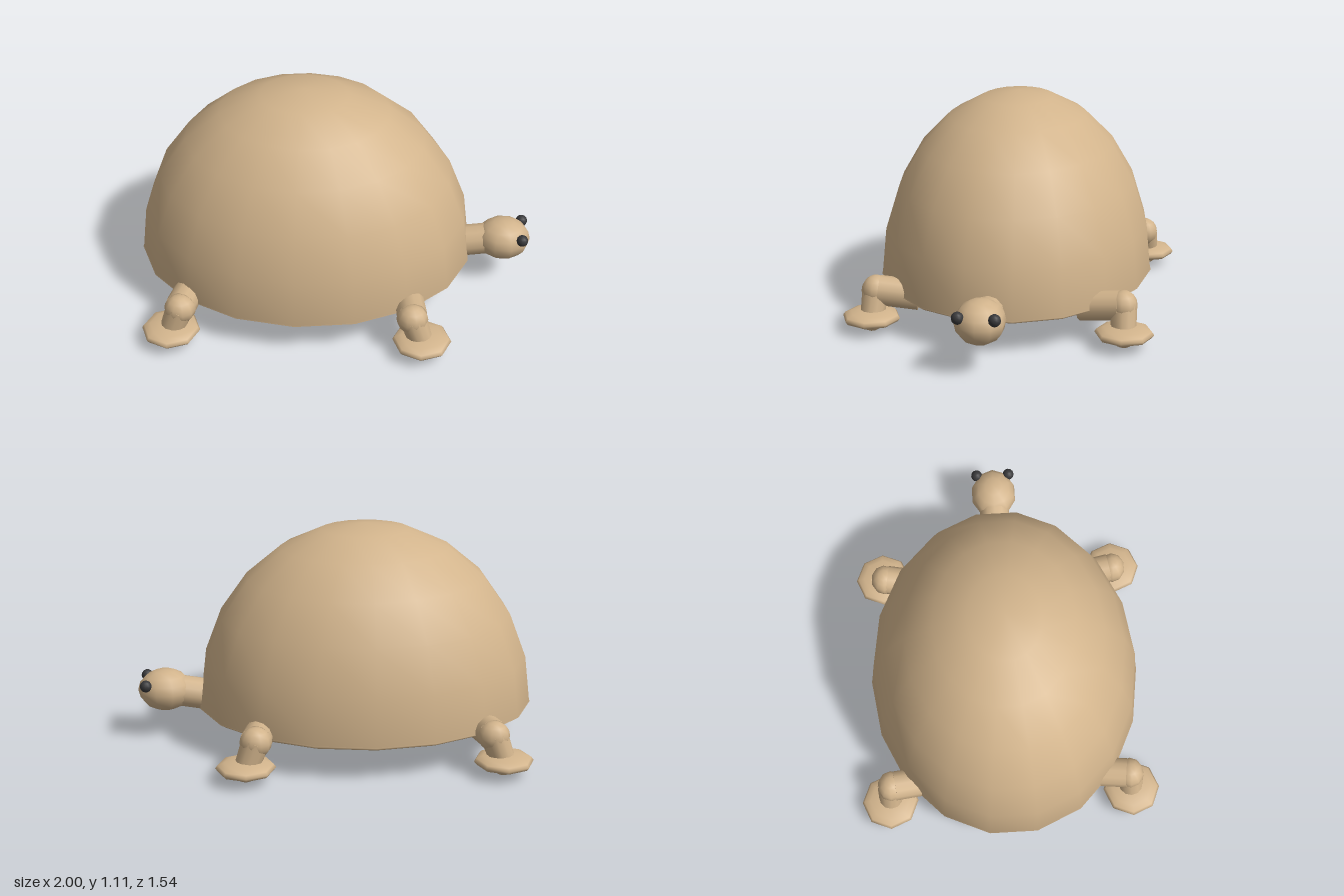
import * as THREE from 'three';

export function createModel() {
  const model = new THREE.Group();
  const tan = new THREE.MeshStandardMaterial({ color: 0xd2b48c });
  tan.name = 'tan';
  const dark = new THREE.MeshStandardMaterial({ color: 0x38383a });
  dark.name = 'dark eye';

  function add(parent, name, geometry, material = tan) {
    const mesh = new THREE.Mesh(geometry, material);
    mesh.name = name;
    parent.add(mesh);
    return mesh;
  }
  function ellipsoid(parent, name, pos, radii, w = 8, h = 8, material = tan) {
    const mesh = add(parent, name, new THREE.SphereGeometry(1, w, h), material);
    mesh.scale.set(...radii);
    mesh.position.set(...pos);
    return mesh;
  }
  // Cylinder running between two points
  function limb(parent, name, a, b, ra, rb) {
    const from = new THREE.Vector3(...a), to = new THREE.Vector3(...b);
    const dir = to.clone().sub(from);
    const mesh = add(parent, name, new THREE.CylinderGeometry(rb, ra, dir.length(), 12));
    mesh.position.copy(from).add(to).multiplyScalar(0.5);
    mesh.quaternion.setFromUnitVectors(new THREE.Vector3(0, 1, 0), dir.normalize());
    return mesh;
  }

  // Domed shell, turned so that corners fall on the z axis
  const dome = new THREE.SphereGeometry(1, 18, 6, Math.PI / 18, Math.PI * 2, 0, Math.PI / 2);
  const shell = add(model, 'shell', dome);
  shell.scale.set(0.85, 0.925, 0.695);
  shell.position.set(-0.16, 0.18, 0);

  // Shallow belly with a slim lip around the shell
  const bellyShape = new THREE.SphereGeometry(1, 18, 12, Math.PI / 18);
  const belly = add(model, 'belly', bellyShape);
  belly.scale.set(0.853, 0.07, 0.698);
  belly.position.set(-0.16, 0.18, 0);

  // Four bent legs with wide flat feet
  for (const [end, kneeX, footX] of [['front', 0.41, 0.46], ['back', -0.73, -0.78]]) {
    for (const side of [1, -1]) {
      const leg = new THREE.Group();
      leg.name = end + (side > 0 ? 'Right' : 'Left') + 'Leg';
      const z = (v) => v * side;
      const inward = end === 'front' ? -0.03 : 0.03;
      limb(leg, 'upperLeg', [kneeX + inward, 0.17, z(0.4)], [kneeX, 0.195, z(0.6)], 0.075, 0.075);
      ellipsoid(leg, 'knee', [kneeX, 0.195, z(0.615)], [0.078, 0.075, 0.07], 10, 8);
      limb(leg, 'lowerLeg', [footX, 0.06, z(0.625)], [kneeX, 0.2, z(0.615)], 0.06, 0.068);
      ellipsoid(leg, 'foot', [footX, 0.072, z(0.627)], [0.145, 0.04, 0.145]);
      ellipsoid(leg, 'sole', [footX, 0.05, z(0.625)], [0.06, 0.05, 0.06]);
      model.add(leg);
    }
  }

  // Neck, head and eyes, pointing along +x
  const head = new THREE.Group();
  head.name = 'head';
  limb(head, 'neck', [0.5, 0.19, 0], [0.79, 0.24, 0], 0.08, 0.08);
  ellipsoid(head, 'skull', [0.858, 0.247, 0], [0.138, 0.107, 0.122], 10, 8);
  for (const side of [1, -1]) {
    ellipsoid(head, 'eye', [0.952, 0.294, side * 0.086], [0.03, 0.03, 0.03], 12, 8, dark);
  }
  model.add(head);

  return model;
}
